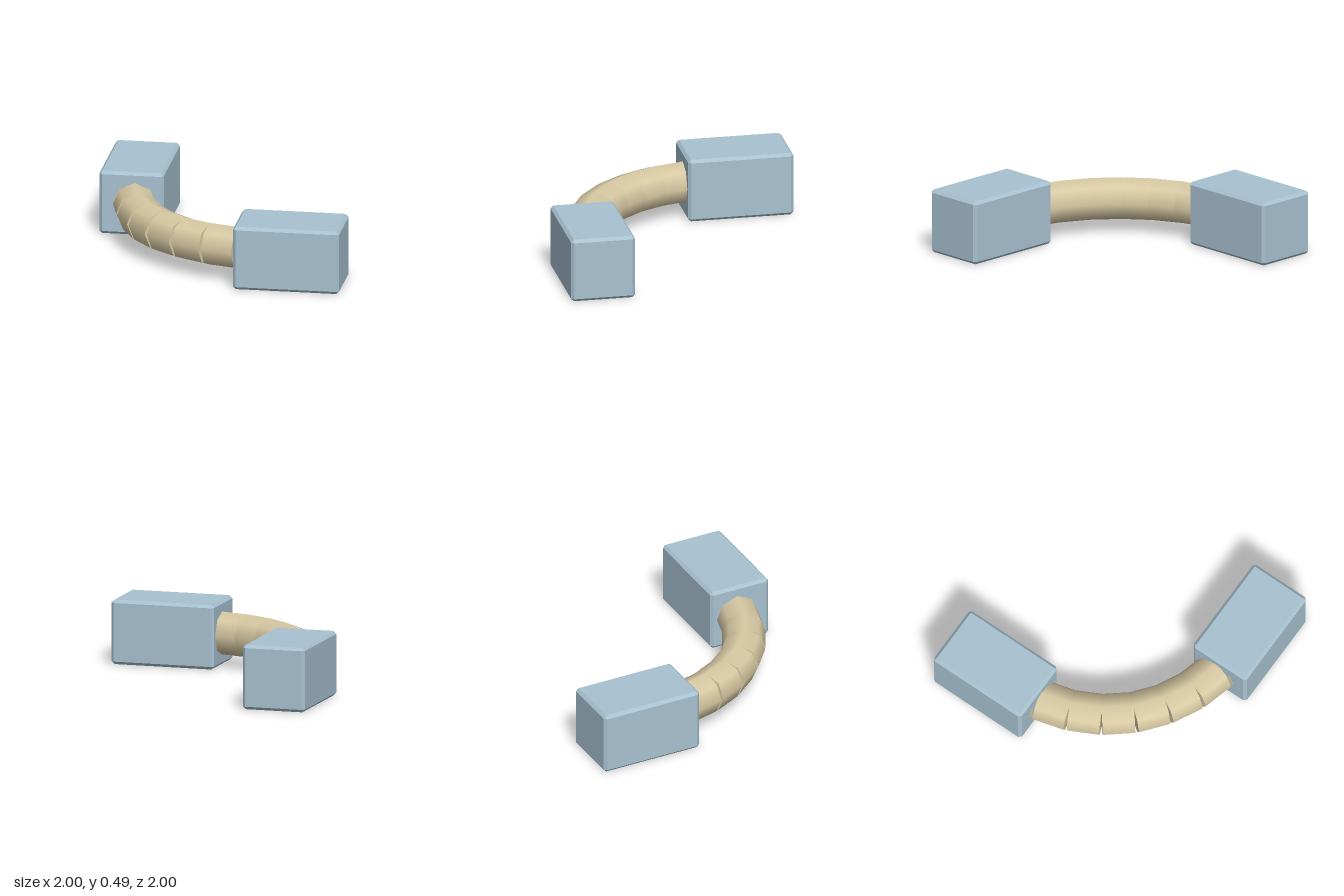
import * as THREE from 'three';
import { ConvexGeometry } from 'three/addons/geometries/ConvexGeometry.js';

const AXIS_Y = 0.245;

// Box with flat bevelled edges and corners
function bevelledBox(w, h, d, bevel) {
  const half = [w / 2, h / 2, d / 2];
  const points = [];
  for (const sx of [-1, 1]) for (const sy of [-1, 1]) for (const sz of [-1, 1]) {
    for (let full = 0; full < 3; full++) {
      const p = [sx, sy, sz].map((s, i) => s * (half[i] - (i === full ? 0 : bevel)));
      points.push(new THREE.Vector3(...p));
    }
  }
  return new ConvexGeometry(points);
}

export function createModel() {
  const model = new THREE.Group();
  model.name = 'curvedConnector';

  const blockBlue = new THREE.MeshStandardMaterial({ color: 0xa8c2d1 });
  blockBlue.name = 'paleBlue';
  const pipeTan = new THREE.MeshStandardMaterial({ color: 0xd9caa4 });
  pipeTan.name = 'sandTan';

  // End blocks, one at the back and one turned a quarter at the front
  const blockGeometry = bevelledBox(0.485, 0.487, 0.8, 0.022);
  const addBlock = (name, x, z, turn) => {
    const block = new THREE.Mesh(blockGeometry, blockBlue);
    block.name = name;
    block.position.set(x, 0.2435, z);
    block.rotation.y = turn;
    model.add(block);
  };
  addBlock('backBlock', -0.7575, -0.6, 0);
  addBlock('frontBlock', 0.6, 0.7575, Math.PI / 2);

  // Pipe: straight eight-sided lengths along a quarter arc, gaping on the outside
  const pipe = new THREE.Group();
  pipe.name = 'segmentedPipe';
  const segmentGeometry = new THREE.CylinderGeometry(0.162, 0.162, 0.243, 8);
  segmentGeometry.rotateX(Math.PI / 2);
  const centre = 0.386, radius = 1.126;
  for (let i = 0; i < 8; i++) {
    const angle = THREE.MathUtils.degToRad(3 + 12 * i);
    const segment = new THREE.Mesh(segmentGeometry, pipeTan);
    segment.name = `pipeSegment${i + 1}`;
    segment.position.set(centre - radius * Math.cos(angle), AXIS_Y, -centre + radius * Math.sin(angle));
    segment.rotation.y = angle;
    pipe.add(segment);
  }
  model.add(pipe);

  return model;
}
